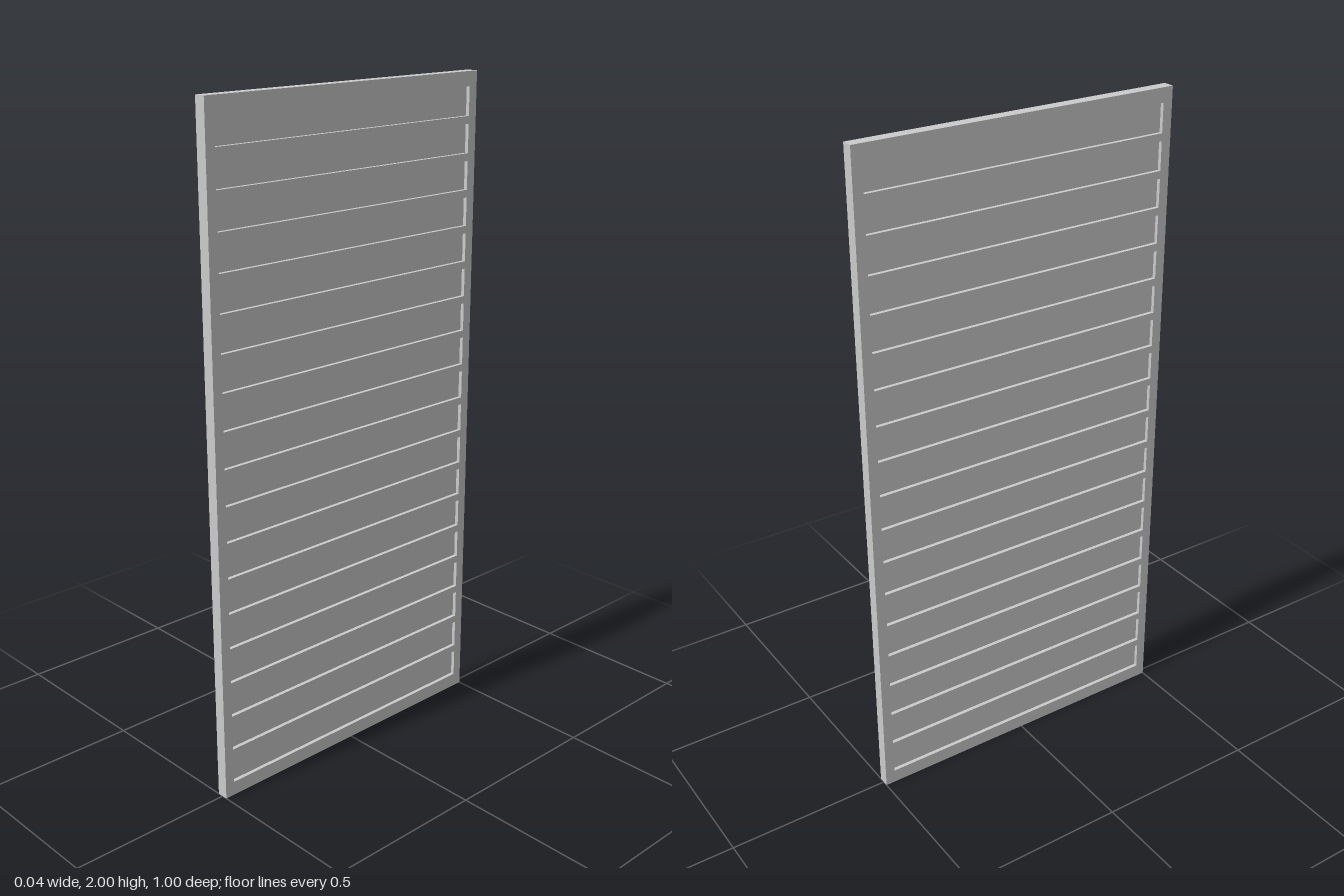
import * as THREE from 'three';

const HEIGHT = 2, WIDTH = 1, DEPTH = 0.035;
const STILE = 0.03, RAIL = 0.043;
const PANELS = 18, BAR = 0.0228;
const CORE = 0.012;

export function createModel() {
  const model = new THREE.Group();
  model.name = 'slattedPanel';
  const material = new THREE.MeshStandardMaterial({ color: 0xcccccc, flatShading: true });

  // Box standing from y0 to y1, centred on z
  const addBox = (name, depth, y0, y1, width, z = 0) => {
    const mesh = new THREE.Mesh(new THREE.BoxGeometry(depth, y1 - y0, width), material);
    mesh.name = name;
    mesh.position.set(0, (y0 + y1) / 2, z);
    model.add(mesh);
  };

  // Upright stiles at both ends
  for (const side of [-1, 1]) {
    addBox(side > 0 ? 'frontStile' : 'backStile', DEPTH, 0, HEIGHT, STILE, side * (WIDTH - STILE) / 2);
  }

  // Top and bottom rails between the stiles
  const inner = WIDTH - 2 * STILE;
  addBox('bottomRail', DEPTH, 0, RAIL, inner);
  addBox('topRail', DEPTH, HEIGHT - RAIL, HEIGHT, inner);

  // Narrow bars dividing the recessed panels
  const panelHeight = (HEIGHT - 2 * RAIL - (PANELS - 1) * BAR) / PANELS;
  for (let i = 0; i < PANELS; i++) {
    const y0 = RAIL + i * (panelHeight + BAR);
    const y1 = y0 + panelHeight;
    addBox('recessedPanel', CORE, y0, y1, inner);
    if (i < PANELS - 1) addBox('crossBar', DEPTH, y1, y1 + BAR, inner);
  }
  return model;
}
